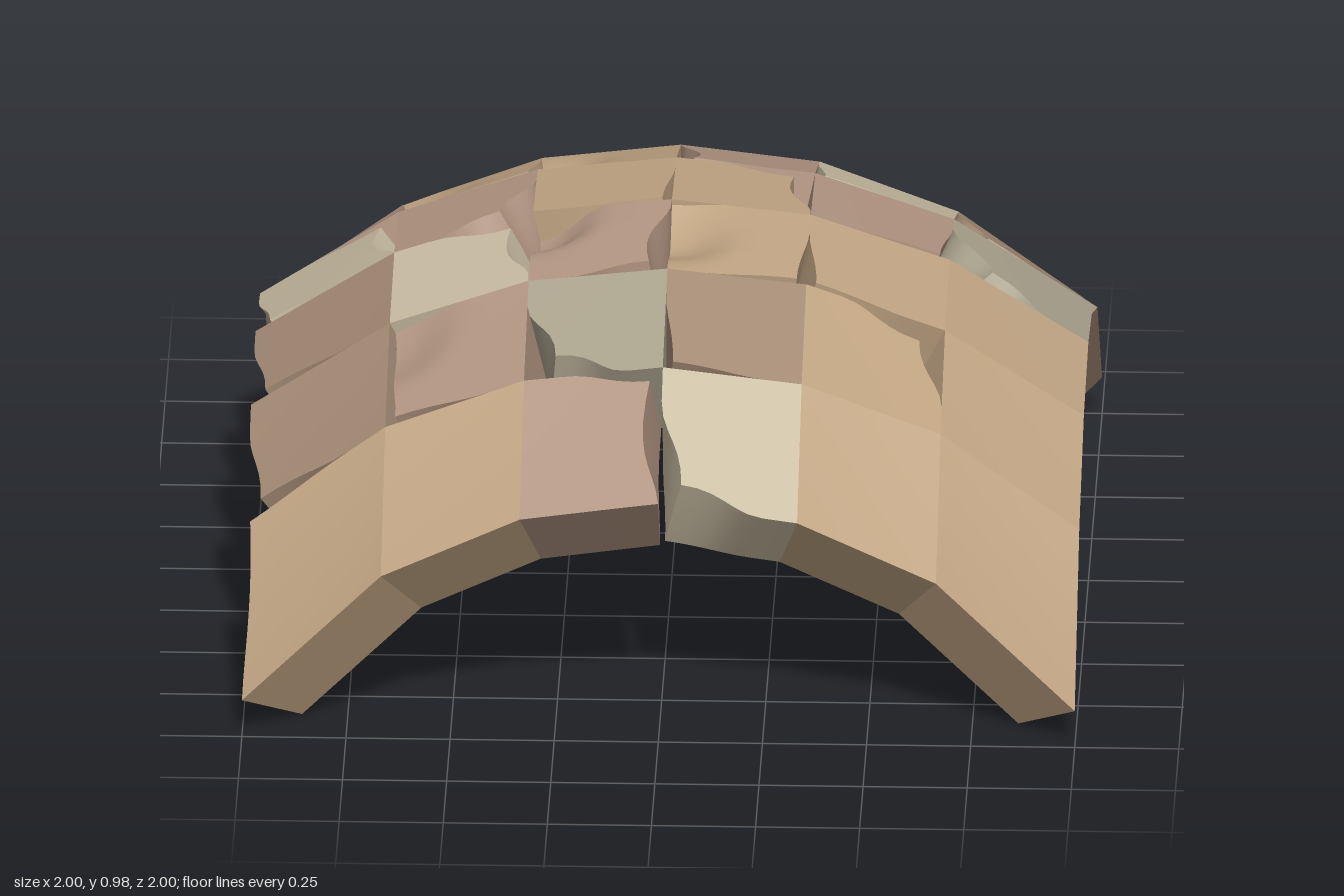
import * as THREE from 'three';

const N = 6;             // stones per side
const R = 1.569;         // outer sphere radius
const CY = -0.579;       // height of the sphere centre
const INNER = 0.86;      // inner shell scale

const COLORS = { T: 0xbfa382, P: 0xb29582, L: 0xc9bca2, G: 0xaaa28d, B: 0xa48b75 };
// stone tints, rows from back to front, columns from -x to +x
const TINTS = ['TTPLPB', 'PTTPLB', 'LPTTPG', 'BLPTTT', 'BPGBTT', 'TTPLTT'];

// large chips: column, row, u, v (place on the stone), strength
const CHIPS = [
  [2, 0, 1, 1, 0.28], [3, 0, 1, 1, 0.18], [3, 1, 0, 0.75, 0.16], [5, 1, 0, 1, 0.24],
  [0, 2, 1, 0.3, 0.18], [1, 2, 1, 1, 0.25], [3, 2, 1, 0.2, 0.17], [5, 2, 0, 1, 0.3],
  [1, 3, 1, 0.2, 0.18], [2, 3, 1, 0.8, 0.16], [4, 4, 1, 0, 0.18], [2, 4, 0, 1, 0.22],
  [2, 5, 1, 0.3, 0.13], [3, 5, 0, 1, 0.16], [5, 1, 1, 0.5, 0.1],
];

// soft hollows worn into outer faces: column, row, u, v, depth
const DENTS = [
  [1, 1, 0, 0.5, 0.3], [2, 1, 0, 0.6, 0.35], [1, 4, 0, 0.2, 0.2], [2, 3, 0, 0.1, 0.4], [3, 3, 0, 0.4, 0.3],
];

// grid corner on the outer dome, measured from the sphere centre
function corner(i, j) {
  const x = -1 + (2 * i) / N, z = -1 + (2 * j) / N;
  return new THREE.Vector3(x, Math.sqrt(R * R - x * x - z * z), z);
}

function falloff(u, v, cu, cv, radius) {
  const d = Math.hypot(u - cu, v - cv) / radius;
  return d < 1 ? (1 - d * d) ** 2 : 0;
}

// large chips of a stone, plus a small one at a front corner inside the dome
// and along the weathered -x rim
function chipsOf(i, j) {
  const chips = CHIPS.filter((c) => c[0] === i && c[1] === j);
  if (i === 0 && j > 0) chips.push([i, j, 0, j < N - 1 ? 1 : 0.3, j < N - 1 ? 0.1 : 0.04]);
  else if (chips.length === 0 && i < N - 1 && j < N - 1) chips.push([i, j, (i + j + 1) % 2, 1, 0.07]);
  return chips;
}

// one wedge-shaped stone between the outer and inner shells
function stoneGeometry(i, j) {
  const geo = new THREE.BoxGeometry(1, 1, 1, 8, 3, 8);
  const pos = geo.attributes.position;
  const chips = chipsOf(i, j);
  const dents = DENTS.filter((c) => c[0] === i && c[1] === j);
  const back = [corner(i, j), corner(i + 1, j)];
  const front = [corner(i, j + 1), corner(i + 1, j + 1)];
  const a = new THREE.Vector3(), b = new THREE.Vector3();
  for (let k = 0; k < pos.count; k++) {
    const u0 = pos.getX(k) + 0.5, v0 = pos.getZ(k) + 0.5;
    const depth = 0.5 - pos.getY(k); // 0 outside, 1 inside
    let u = u0, v = v0, w = depth;
    for (const [, , cu, cv, s] of chips) {
      const pull = s * falloff(u0, v0, cu, cv, 0.75) * (1 - 0.75 * depth);
      u += pull * Math.sign(Math.round((0.5 - cu) * 4));
      v += pull * Math.sign(Math.round((0.5 - cv) * 4));
    }
    for (const [, , cu, cv, s] of dents) w += s * falloff(u0, v0, cu, cv, 0.55) * (1 - depth);
    a.lerpVectors(back[0], back[1], u);
    b.lerpVectors(front[0], front[1], u);
    a.lerp(b, v).multiplyScalar(1 - (1 - INNER) * w);
    pos.setXYZ(k, a.x, a.y + CY, a.z);
  }
  geo.computeVertexNormals();
  return geo;
}

export function createModel() {
  const dome = new THREE.Group();
  dome.name = 'stoneDome';
  const materials = {};
  for (const key in COLORS) materials[key] = new THREE.MeshStandardMaterial({ color: COLORS[key] });

  for (let j = 0; j < N; j++) {
    const row = new THREE.Group();
    row.name = `stoneRow${j + 1}`;
    for (let i = 0; i < N; i++) {
      const stone = new THREE.Mesh(stoneGeometry(i, j), materials[TINTS[j][i]]);
      stone.name = `stone${j + 1}_${i + 1}`;
      row.add(stone);
    }
    dome.add(row);
  }
  return dome;
}
